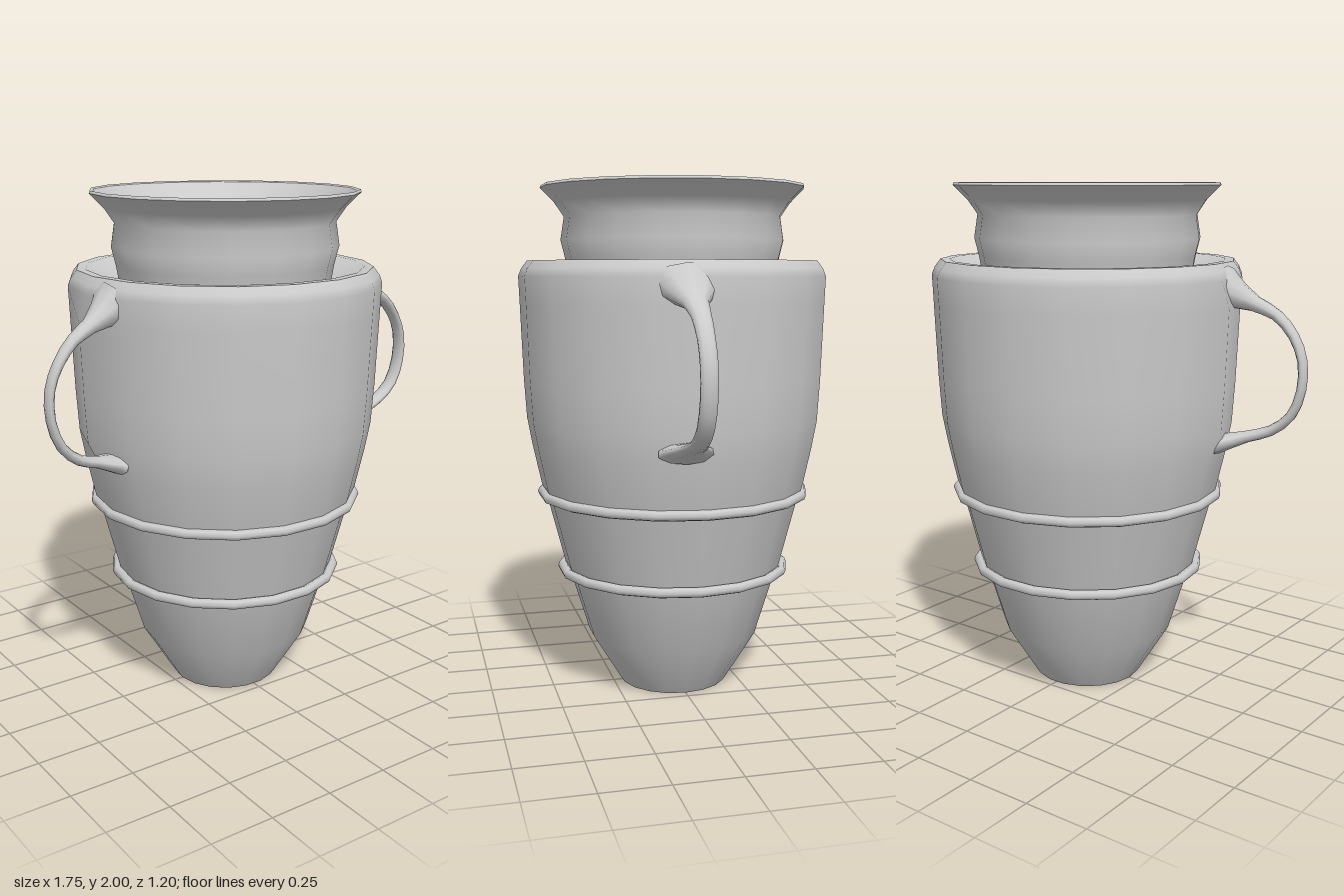
import * as THREE from 'three';

const SIDES = 18;
const material = new THREE.MeshStandardMaterial({ color: 0xcccccc, side: THREE.DoubleSide });

function addMesh(group, name, geometry) {
  const mesh = new THREE.Mesh(geometry, material);
  mesh.name = name;
  group.add(mesh);
  return mesh;
}

// Turned part with facet corners lying on the x axis
function turned(profile) {
  const points = profile.map(([r, y]) => new THREE.Vector2(r, y));
  return new THREE.LatheGeometry(points, SIDES, Math.PI / SIDES);
}

// Handle swept along keys of [x, y, half thickness, half width]
function handleGeometry(keys, side, rootZ, lean, slim) {
  const curve = new THREE.CatmullRomCurve3(keys.map(([x, y]) => new THREE.Vector3(x, y, 0)));
  const steps = (keys.length - 1) * 2, around = 10;
  const positions = [], indices = [];
  for (let i = 0; i <= steps; i++) {
    const u = i / steps;
    const p = curve.getPoint(u), tangent = curve.getTangent(u);
    const k = Math.min(Math.floor(i / 2), keys.length - 2), f = i / 2 - k;
    const thick = THREE.MathUtils.lerp(keys[k][2], keys[k + 1][2], f);
    const wide = THREE.MathUtils.lerp(keys[k][3], keys[k + 1][3], f) * slim;
    const z = rootZ + lean * Math.sin(THREE.MathUtils.clamp((p.x - 0.56) / 0.3, 0, 1) * Math.PI / 2);
    for (let j = 0; j < around; j++) {
      const a = (j / around) * Math.PI * 2;
      const c = Math.cos(a) * thick;
      positions.push(side * (p.x - tangent.y * c), p.y + tangent.x * c, z + Math.sin(a) * wide);
      if (i < steps) {
        const n = (j + 1) % around;
        const A = i * around + j, B = i * around + n, C = A + around, D = B + around;
        if (side > 0) indices.push(A, B, C, B, D, C);
        else indices.push(A, C, B, B, C, D);
      }
    }
  }
  const geometry = new THREE.BufferGeometry();
  geometry.setAttribute('position', new THREE.Float32BufferAttribute(positions, 3));
  geometry.setIndex(indices);
  geometry.computeVertexNormals();
  return geometry;
}

export function createModel() {
  const vase = new THREE.Group();
  vase.name = 'vase';

  // Outer wall, drawn out a little where the handles join
  const wall = turned([
    [0.215, 0], [0.225, 0.015], [0.345, 0.21], [0.415, 0.44], [0.44, 0.5], [0.51, 0.77], [0.53, 0.82],
    [0.565, 0.98], [0.585, 1.09], [0.595, 1.25], [0.606, 1.55], [0.61, 1.65], [0.598, 1.68], [0.575, 1.71],
  ]);
  const pos = wall.attributes.position;
  for (let i = 0; i < pos.count; i++) {
    const x = pos.getX(i), y = pos.getY(i);
    if (Math.abs(pos.getZ(i)) < 0.01 && y > 1.05 && y < 1.6) pos.setX(i, x + (x < 0 ? -0.035 : 0.018));
  }
  addMesh(vase, 'body', wall);

  // Shoulder dipping to the neck, then the flared lip
  addMesh(vase, 'shoulder', turned([[0.575, 1.71], [0.54, 1.71], [0.48, 1.68], [0.415, 1.66]]));
  addMesh(vase, 'neck', turned([[0.415, 1.66], [0.425, 1.72], [0.442, 1.79], [0.428, 1.88], [0.465, 1.935], [0.52, 1.99]]));
  addMesh(vase, 'lip', turned([[0.52, 1.99], [0.516, 2], [0.505, 1.995]]));

  // Hollow inside
  addMesh(vase, 'interior', turned([
    [0.505, 1.995], [0.45, 1.94], [0.4, 1.88], [0.38, 1.8], [0.355, 1.74], [0.355, 1.66], [0.42, 1.63],
    [0.55, 1.6], [0.54, 1.1], [0.48, 0.82], [0.39, 0.5], [0.31, 0.23], [0.2, 0.06], [0, 0.05],
  ]));

  // Slightly hollow foot
  addMesh(vase, 'foot', turned([[0, 0.03], [0.12, 0.025], [0.19, 0.012], [0.215, 0]]));

  // Raised bands
  for (const [name, radius, y] of [['lowerBand', 0.45, 0.48], ['upperBand', 0.527, 0.79]]) {
    const band = new THREE.TorusGeometry(radius, 0.02, 8, SIDES);
    band.rotateX(Math.PI / 2);
    addMesh(vase, name, band).position.y = y;
  }

  // Handles with flared roots, each leaning towards the front
  const keys = [
    [0.54, 1.625, 0.085, 0.13], [0.61, 1.59, 0.05, 0.085], [0.67, 1.562, 0.03, 0.048], [0.75, 1.522, 0.021, 0.036],
    [0.815, 1.45, 0.018, 0.032], [0.853, 1.36, 0.016, 0.032], [0.853, 1.25, 0.016, 0.032], [0.815, 1.15, 0.018, 0.032],
    [0.74, 1.087, 0.02, 0.034], [0.66, 1.06, 0.022, 0.048], [0.6, 1.04, 0.03, 0.085], [0.55, 1.025, 0.04, 0.11],
  ];
  addMesh(vase, 'leftHandle', handleGeometry(keys, 1, 0.085, 0.005, 1));
  addMesh(vase, 'rightHandle', handleGeometry(keys, -1, 0.09, 0.085, 0.8));

  return vase;
}
